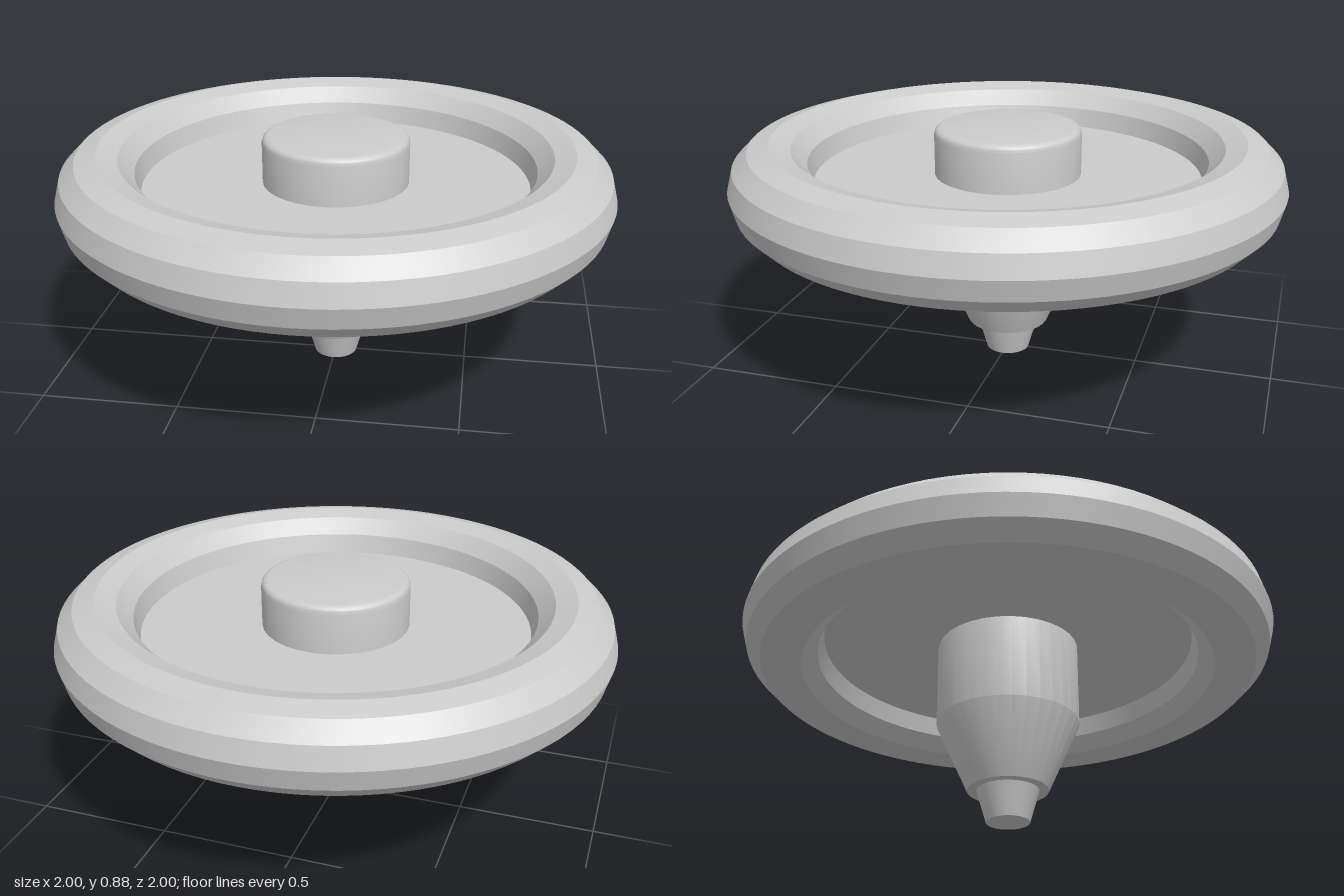
import * as THREE from 'three';
import { toCreasedNormals } from 'three/addons/utils/BufferGeometryUtils.js';

const CREASE = THREE.MathUtils.degToRad(25);

export function createModel() {
  const group = new THREE.Group();
  const grey = new THREE.MeshStandardMaterial({ color: 0xcccccc });

  const add = (name, geometry, y = 0) => {
    const mesh = new THREE.Mesh(toCreasedNormals(geometry, CREASE), grey);
    mesh.name = name;
    mesh.position.y = y;
    group.add(mesh);
  };
  const lathe = (points, sides) =>
    new THREE.LatheGeometry(points.map(([r, y]) => new THREE.Vector2(r, y)), sides);

  // Outer ring: twelve-sided section, smooth around its circumference
  add('rim', new THREE.TorusGeometry(0.85, 0.15, 12, 96).rotateX(Math.PI / 2), 0.7);

  // Thin web closing the ring
  add('disc', new THREE.CylinderGeometry(0.72, 0.72, 0.006, 96), 0.7);

  // Hub with a softly rounded top edge, tapering below
  const hub = [[0, 0.12], [0.15, 0.12], [0.267, 0.38], [0.267, 0.852]];
  for (let i = 1; i <= 5; i++) {
    const a = (i / 5) * Math.PI / 2;
    hub.push([0.242 + 0.025 * Math.cos(a), 0.852 + 0.025 * Math.sin(a)]);
  }
  hub.push([0, 0.877]);
  add('hub', lathe(hub, 32), 0);

  // Small tapered foot
  add('tip', lathe([[0, 0], [0.08, 0], [0.115, 0.12], [0, 0.12]], 32), 0);

  return group;
}
